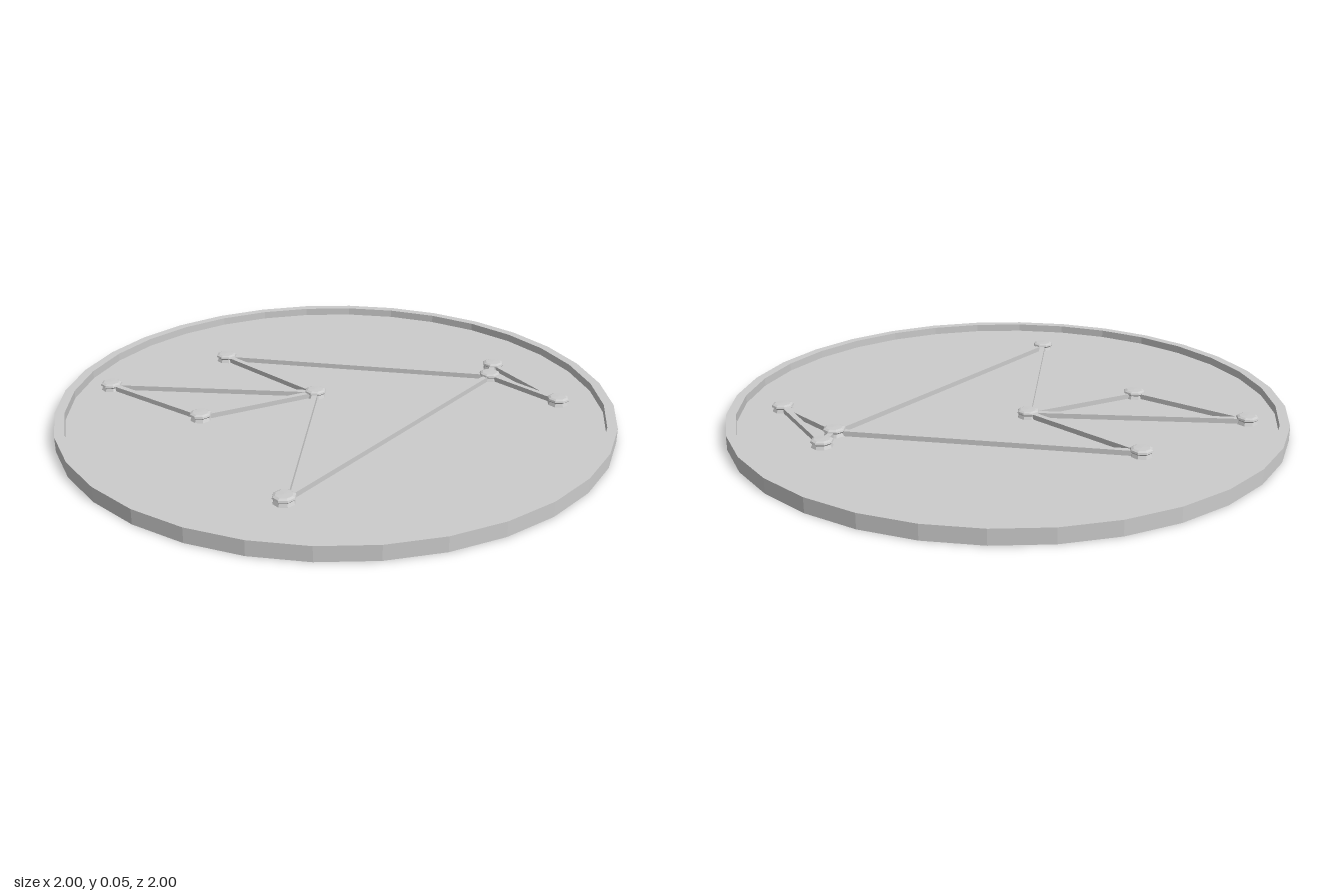
import * as THREE from 'three';

const FLOOR = 0.024;
const RIM = 0.053;

export function createModel() {
  const model = new THREE.Group();
  model.name = 'pegDish';
  const material = new THREE.MeshStandardMaterial({ color: 0xcccccc, flatShading: true });

  const add = (geometry, name) => {
    const mesh = new THREE.Mesh(geometry, material);
    mesh.name = name;
    model.add(mesh);
    return mesh;
  };
  const profile = (points) => points.map(([r, y]) => new THREE.Vector2(r, y));

  // Shallow dish with a thin raised rim
  add(new THREE.LatheGeometry(profile([
    [0, 0], [1, 0], [1, RIM], [0.965, RIM], [0.965, FLOOR], [0, FLOOR],
  ]), 32), 'dish');

  // Pegs: flared foot, narrow neck and bevelled cap
  const pegGeometry = new THREE.LatheGeometry(profile([
    [0.039, FLOOR - 0.002], [0.033, 0.036], [0.04, 0.042], [0.038, 0.048], [0.029, 0.052], [0, 0.053],
  ]), 8);
  const pegs = [
    [-0.75, -0.415], [-0.49, -0.043], [-0.043, -0.102], [-0.273, -0.55],
    [0.642, -0.04], [0.7, -0.128], [0.775, 0.25], [-0.375, 0.615],
  ];
  pegs.forEach(([x, z], i) => add(pegGeometry, `peg${i + 1}`).position.set(x, 0, z));

  // Straight bars joining pairs of pegs
  const links = [[0, 1], [0, 2], [1, 2], [2, 3], [2, 7], [3, 4], [7, 4], [4, 5], [4, 6], [5, 6]];
  const barTop = 0.042;
  const barBottom = FLOOR - 0.002;
  links.forEach(([a, b], i) => {
    const [x1, z1] = pegs[a];
    const [x2, z2] = pegs[b];
    const length = Math.hypot(x2 - x1, z2 - z1);
    const bar = add(new THREE.BoxGeometry(length, barTop - barBottom, 0.02), `bar${i + 1}`);
    bar.position.set((x1 + x2) / 2, (barTop + barBottom) / 2, (z1 + z2) / 2);
    bar.rotation.y = -Math.atan2(z2 - z1, x2 - x1);
  });

  return model;
}
